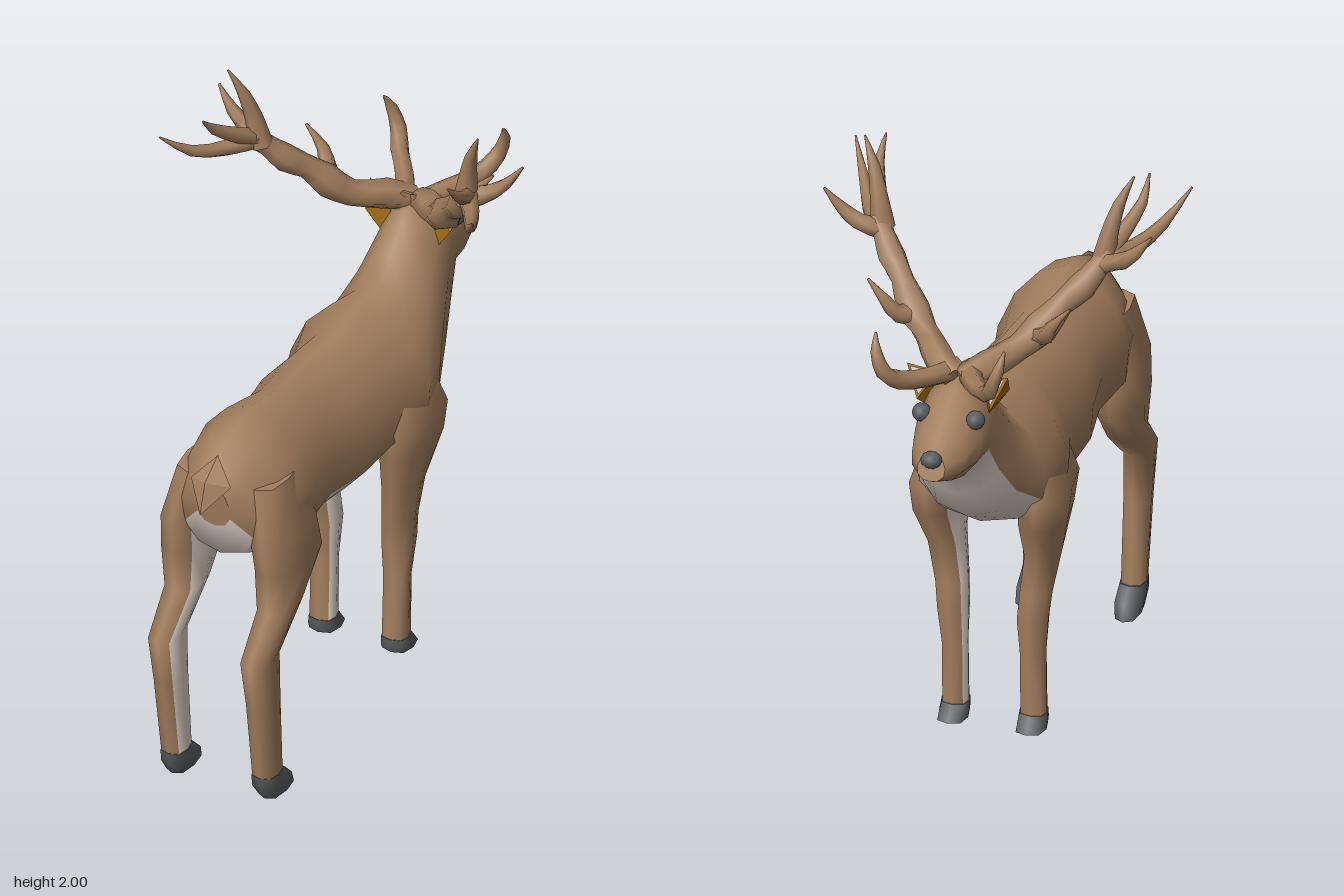
import * as THREE from 'three';
import { ConvexGeometry } from 'three/addons/geometries/ConvexGeometry.js';

const V = (x, y, z) => new THREE.Vector3(x, y, z);

function flat(name, color, extra = {}) {
  const m = new THREE.MeshStandardMaterial({ color, ...extra });
  m.name = name;
  return m;
}

// Skins a list of rings; isPale(ring, column) picks faces for the second material.
function loft(rings, isPale = () => false) {
  const n = rings[0].length, pos = [], groups = [[], []];
  const add = p => pos.push(p.x, p.y, p.z) / 3 - 1;
  rings.forEach(r => r.forEach(add));
  for (let i = 0; i < rings.length - 1; i++) {
    for (let k = 0; k < n; k++) {
      const a = i * n + k, b = i * n + (k + 1) % n;
      groups[isPale(i, k) ? 1 : 0].push(a, b, a + n, b, b + n, a + n);
    }
  }
  // End caps have their own vertices so the rims stay crisp
  [rings[0], rings[rings.length - 1]].forEach((r, end) => {
    const mid = r.reduce((s, p) => s.add(p), V(0, 0, 0)).divideScalar(n);
    const c = add(mid), first = r.map(add)[0];
    for (let k = 0; k < n; k++) {
      const a = first + k, b = first + (k + 1) % n;
      groups[0].push(...(end ? [c, a, b] : [c, b, a]));
    }
  });
  // Turn the skin outwards whichever way the rings run
  const index = groups.flat();
  const at = i => V(pos[3 * i], pos[3 * i + 1], pos[3 * i + 2]);
  let volume = 0;
  for (let i = 0; i < index.length; i += 3) {
    volume += at(index[i]).dot(at(index[i + 1]).cross(at(index[i + 2])));
  }
  if (volume < 0) {
    for (let i = 0; i < index.length; i += 3) [index[i], index[i + 1]] = [index[i + 1], index[i]];
  }
  const g = new THREE.BufferGeometry();
  g.setAttribute('position', new THREE.Float32BufferAttribute(pos, 3));
  g.setIndex(index);
  g.addGroup(0, groups[0].length, 0);
  g.addGroup(groups[0].length, groups[1].length, 1);
  g.computeVertexNormals();
  return g;
}

// Ring between a top and a bottom point on the centre line, fuller below
function bodyRing([zt, yt, zb, yb, w]) {
  return Array.from({ length: 12 }, (_, k) => {
    const a = k * Math.PI / 6, t = (1 - Math.cos(a)) / 2;
    return V(w * Math.sin(a) * (1 - 0.22 * Math.cos(a)), yt + (yb - yt) * t, zt + (zb - zt) * t);
  });
}

// Level, slightly squared ring for legs and hooves
function legRing([y, z0, z1, x0, x1], side) {
  const soft = v => Math.sign(v) * Math.pow(Math.abs(v), 0.7);
  return Array.from({ length: 8 }, (_, k) => {
    const a = k * Math.PI / 4;
    return V(side * ((x0 + x1) / 2 + (x1 - x0) / 2 * soft(Math.sin(a))), y,
      (z0 + z1) / 2 + (z1 - z0) / 2 * soft(Math.cos(a)));
  });
}

// Tapering horn through points [x, y, z, radius]
function horn(points, side) {
  const curve = new THREE.CatmullRomCurve3(points.map(p => V(side * p[0], p[1], p[2])));
  const steps = (points.length - 1) * 2, rings = [];
  for (let i = 0; i <= steps; i++) {
    const t = i / steps, f = t * (points.length - 1), j = Math.min(Math.floor(f), points.length - 2);
    const r = THREE.MathUtils.lerp(points[j][3], points[j + 1][3], f - j);
    const c = curve.getPoint(t), dir = curve.getTangent(t);
    const u = V(1, 0, 0).cross(dir).normalize(), v = dir.clone().cross(u);
    rings.push(Array.from({ length: 6 }, (_, k) => {
      const a = k * Math.PI / 3;
      return c.clone().addScaledVector(u, r * Math.cos(a)).addScaledVector(v, r * Math.sin(a));
    }));
  }
  return loft(rings);
}

// [top z, top y, bottom z, bottom y, half width] from rump to muzzle
const BODY = [
  [0.80, 1.13, 0.77, 0.96, 0.06], [0.76, 1.185, 0.73, 0.84, 0.13], [0.66, 1.235, 0.64, 0.80, 0.19],
  [0.53, 1.265, 0.47, 0.795, 0.215], [0.33, 1.225, 0.33, 0.775, 0.18], [0.15, 1.23, 0.15, 0.765, 0.21],
  [-0.05, 1.22, -0.05, 0.755, 0.20], [-0.19, 1.255, -0.20, 0.77, 0.245], [-0.32, 1.235, -0.34, 0.81, 0.21],
  [-0.40, 1.32, -0.48, 0.90, 0.165], [-0.47, 1.40, -0.58, 1.03, 0.135], [-0.54, 1.445, -0.635, 1.15, 0.12],
  [-0.62, 1.415, -0.71, 1.15, 0.108], [-0.74, 1.345, -0.79, 1.18, 0.085], [-0.82, 1.30, -0.85, 1.21, 0.045],
];

// [height, front z, back z, inner x, outer x]
const FRONT_LEG = [
  [1.0, -0.33, -0.06, 0.10, 0.22], [0.90, -0.36, -0.04, 0.10, 0.255], [0.80, -0.345, -0.07, 0.10, 0.245],
  [0.656, -0.26, -0.105, 0.10, 0.215], [0.52, -0.255, -0.14, 0.085, 0.19], [0.43, -0.265, -0.15, 0.08, 0.18],
  [0.30, -0.24, -0.16, 0.085, 0.17], [0.085, -0.235, -0.15, 0.085, 0.17],
];
const HIND_LEG = [
  [1.10, 0.50, 0.73, 0.06, 0.18], [0.92, 0.46, 0.765, 0.09, 0.225], [0.80, 0.44, 0.745, 0.095, 0.235],
  [0.656, 0.56, 0.73, 0.105, 0.22], [0.53, 0.70, 0.853, 0.115, 0.21], [0.365, 0.69, 0.82, 0.12, 0.205],
  [0.085, 0.67, 0.775, 0.12, 0.20],
];
const FRONT_HOOF = [[0.088, -0.237, -0.148, 0.082, 0.173], [0.06, -0.26, -0.148, 0.08, 0.176], [0.04, -0.277, -0.155, 0.08, 0.176]];
const HIND_HOOF = [[0.088, 0.665, 0.777, 0.117, 0.203], [0.045, 0.61, 0.775, 0.115, 0.205], [0, 0.59, 0.745, 0.125, 0.20]];

// Antler beam and its branches
const ANTLER = {
  antlerBeam: [[0.01, 1.43, -0.57, 0.04], [0.08, 1.46, -0.51, 0.05], [0.15, 1.49, -0.42, 0.042], [0.21, 1.545, -0.37, 0.055],
    [0.26, 1.61, -0.32, 0.038], [0.31, 1.655, -0.27, 0.046], [0.35, 1.71, -0.23, 0.035], [0.38, 1.75, -0.20, 0.04]],
  browTine: [[0.02, 1.44, -0.52, 0.04], [0.075, 1.455, -0.63, 0.033], [0.14, 1.48, -0.72, 0.03],
    [0.175, 1.53, -0.775, 0.026], [0.20, 1.60, -0.775, 0.018], [0.21, 1.65, -0.745, 0.004]],
  middleTine: [[0.19, 1.53, -0.37, 0.04], [0.24, 1.55, -0.43, 0.03], [0.27, 1.60, -0.455, 0.02], [0.33, 1.67, -0.455, 0.004]],
  crownTine: [[0.36, 1.72, -0.21, 0.04], [0.375, 1.81, -0.20, 0.03], [0.40, 1.91, -0.175, 0.02], [0.44, 2.0, -0.145, 0.003]],
  outerTine: [[0.36, 1.72, -0.22, 0.035], [0.43, 1.75, -0.245, 0.028], [0.48, 1.79, -0.25, 0.02], [0.535, 1.86, -0.265, 0.004]],
  rearTine: [[0.37, 1.74, -0.21, 0.035], [0.43, 1.735, -0.12, 0.028], [0.49, 1.77, 0, 0.018], [0.55, 1.855, 0.10, 0.003]],
  innerRearTine: [[0.37, 1.74, -0.21, 0.03], [0.40, 1.79, -0.12, 0.025], [0.43, 1.85, -0.03, 0.017], [0.43, 1.915, 0.04, 0.003]],
};

export function createModel() {
  const model = new THREE.Group();
  model.name = 'stag';
  const fur = flat('brown fur', 0xa5805f);
  const pale = flat('pale fur', 0xe0d3c8, { side: THREE.DoubleSide });
  const dark = flat('dark grey', 0x5a5d60);
  const earFur = flat('ochre ear', 0xa06c14, { flatShading: true });
  const put = (name, geometry, material) => {
    const m = new THREE.Mesh(geometry, material);
    m.name = name;
    model.add(m);
    return m;
  };

  // Body, neck and head in one skin; the underside is pale up to the jaw
  put('body', loft(BODY.map(bodyRing), (i, k) => i < 11 && k >= 4 && k <= 7), [fur, pale]);

  // Short flattened tail
  put('tail', new ConvexGeometry([V(0, 1.205, 0.75), V(-0.07, 1.13, 0.795), V(0.07, 1.13, 0.795),
    V(0, 1.15, 0.835), V(0, 1.10, 0.79), V(0, 1.05, 0.868)]), fur);

  const nose = put('nose', new THREE.IcosahedronGeometry(0.035, 1), dark);
  nose.position.set(0, 1.28, -0.835);
  nose.scale.set(1, 0.8, 0.85);

  for (const side of [1, -1]) {
    const tag = side > 0 ? 'left' : 'right';
    const inner = (i, k) => k === 5 || k === 6;
    put(tag + 'FrontLeg', loft(FRONT_LEG.map(r => legRing(r, side)), inner), [fur, pale]);
    put(tag + 'HindLeg', loft(HIND_LEG.map(r => legRing(r, side)), inner), [fur, pale]);
    put(tag + 'FrontHoof', loft(FRONT_HOOF.map(r => legRing(r, side))), dark);
    put(tag + 'HindHoof', loft(HIND_HOOF.map(r => legRing(r, side))), dark);

    const eye = put(tag + 'Eye', new THREE.IcosahedronGeometry(0.031, 1), dark);
    eye.position.set(side * 0.088, 1.345, -0.66);

    // Ear with a pale patch on its forward face
    const tip = V(side * 0.165, 1.46, -0.57), front = V(side * 0.12, 1.36, -0.61), root = V(side * 0.07, 1.43, -0.54);
    put(tag + 'Ear', new ConvexGeometry([tip, front, root,
      V(side * 0.08, 1.285, -0.525), V(side * 0.15, 1.385, -0.508)]), earFur);
    const mid = tip.clone().add(front).add(root).divideScalar(3);
    const patch = new THREE.BufferGeometry().setFromPoints([tip, front, root].map(p =>
      p.clone().lerp(mid, 0.2).add(V(side * -0.002, 0.0024, -0.0038))));
    if (side < 0) patch.setIndex([0, 2, 1]);
    patch.computeVertexNormals();
    put(tag + 'InnerEar', patch, pale);

    for (const [name, points] of Object.entries(ANTLER)) put(tag + ' ' + name, horn(points, side), fur);
  }
  return model;
}
